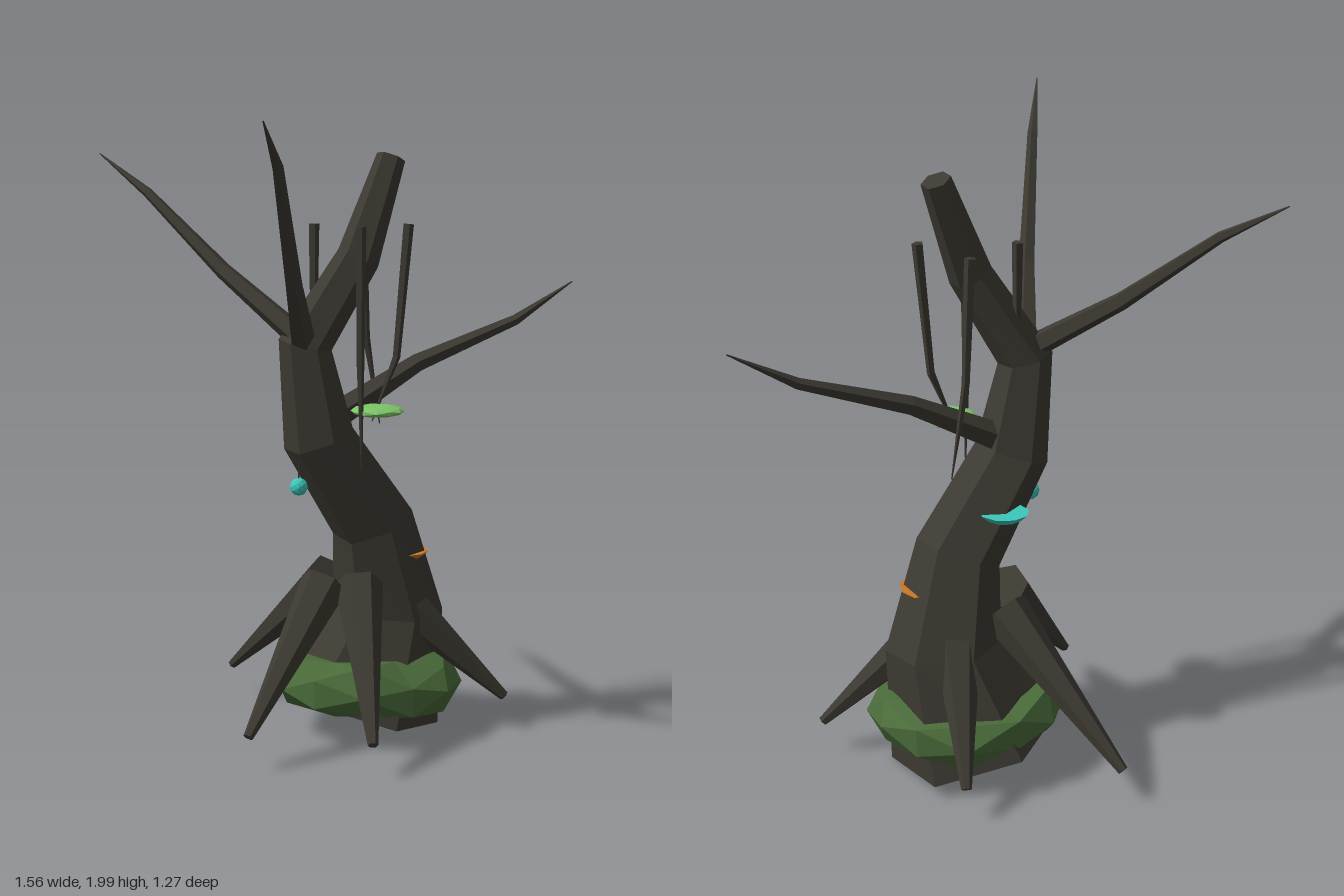
import * as THREE from 'three';

const mat = (name, color) => {
  const m = new THREE.MeshStandardMaterial({ color, flatShading: true });
  m.name = name;
  return m;
};

// Faceted limb: rings perpendicular to a path of [x, y, z, radius] stations
function limbGeometry(stations, sides) {
  const pts = stations.map(s => new THREE.Vector3(s[0], s[1], s[2]));
  const last = pts.length - 1;
  const whole = pts[last].clone().sub(pts[0]).normalize();
  const ref = Math.abs(whole.x) > 0.7 ? new THREE.Vector3(0, 1, 0) : new THREE.Vector3(1, 0, 0);
  const pos = [], idx = [];
  pts.forEach((p, i) => {
    const t = new THREE.Vector3();
    if (i > 0) t.add(p.clone().sub(pts[i - 1]).normalize());
    if (i < last) t.add(pts[i + 1].clone().sub(p).normalize());
    t.normalize();
    const u = ref.clone().addScaledVector(t, -ref.dot(t)).normalize();
    const v = t.clone().cross(u);
    for (let j = 0; j < sides; j++) {
      const a = (j / sides) * Math.PI * 2;
      const q = p.clone()
        .addScaledVector(u, Math.cos(a) * stations[i][3])
        .addScaledVector(v, Math.sin(a) * stations[i][3]);
      pos.push(q.x, q.y, q.z);
    }
  });
  for (let i = 0; i < last; i++) {
    for (let j = 0; j < sides; j++) {
      const k = (j + 1) % sides;
      const a = i * sides + j, b = i * sides + k;
      idx.push(a, b, a + sides, b, b + sides, a + sides);
    }
  }
  for (let j = 1; j < sides - 1; j++) {
    const e = last * sides;
    idx.push(0, j + 1, j, e, e + j, e + j + 1);
  }
  const indexed = new THREE.BufferGeometry();
  indexed.setAttribute('position', new THREE.Float32BufferAttribute(pos, 3));
  indexed.setIndex(idx);
  const g = indexed.toNonIndexed();
  g.computeVertexNormals();
  return g;
}

export function createModel() {
  const group = new THREE.Group();
  const bark = mat('bark', 0x3d3a32);
  const moss = mat('moss', 0x4a6b3a);
  const leaf = mat('lightGreen', 0x7cc568);
  const teal = mat('teal', 0x3cc8bc);
  const orange = mat('orange', 0xc87828);

  const add = (name, geometry, material, x = 0, y = 0, z = 0) => {
    const m = new THREE.Mesh(geometry, material);
    m.name = name;
    m.position.set(x, y, z);
    group.add(m);
    return m;
  };

  // Crooked trunk with a broken top
  add('trunk', limbGeometry([
    [0.08, 0.1, -0.25, 0.28],
    [0.18, 0.42, -0.255, 0.18],
    [0.13, 0.71, -0.19, 0.135],
    [-0.04, 1.0, -0.09, 0.115],
    [-0.08, 1.3, -0.07, 0.085],
    [0.085, 1.57, -0.09, 0.068],
    [0.185, 1.88, -0.17, 0.046],
  ], 6), bark);

  // Bare branches
  [
    [[-0.085, 1.32, -0.02, 0.04], [-0.1, 1.51, 0.19, 0.027], [-0.13, 1.87, 0.43, 0.017], [-0.155, 2.0, 0.635, 0.002]],
    [[-0.09, 1.32, -0.05, 0.04], [-0.35, 1.52, -0.21, 0.028], [-0.61, 1.76, -0.37, 0.017], [-0.78, 1.88, -0.485, 0.002]],
    [[0.02, 1.07, -0.13, 0.045], [0.27, 1.22, -0.25, 0.03], [0.59, 1.345, -0.385, 0.018], [0.78, 1.465, -0.465, 0.002]],
  ].forEach((s, i) => add('branch' + (i + 1), limbGeometry(s, 5), bark));

  // Splayed roots: start, then tip
  [
    [[-0.01, 0.52, -0.22], [-0.36, 0.125, -0.535]],
    [[-0.02, 0.53, -0.08], [-0.24, 0.125, 0.26]],
    [[0.09, 0.53, -0.08], [0.145, 0.125, 0.32]],
    [[0.19, 0.48, -0.18], [0.565, 0.125, -0.2]],
    [[0.14, 0.5, -0.31], [0.12, 0.125, -0.62]],
  ].forEach(([a, b], i) =>
    add('root' + (i + 1), limbGeometry([[...a, 0.078], [...b, 0.016]], 6), bark));

  // Hanging vines, tapering downwards
  [
    [[0.24, 1.675, -0.11], [0.205, 1.26, -0.09], [0.13, 1.06, -0.06]],
    [[0.095, 1.675, 0.025], [0.095, 1.25, 0.025], [0.1, 0.91, 0.022]],
    [[-0.055, 1.675, -0.11], [-0.055, 1.4, -0.1], [-0.05, 1.1, -0.09]],
    [[0.09, 1.675, -0.265], [0.105, 1.3, -0.29], [0.15, 1.01, -0.32]],
  ].forEach((p, i) => add('vine' + (i + 1),
    limbGeometry(p.map((q, k) => [...q, [0.018, 0.013, 0.002][k]]).reverse(), 5), bark));

  // Moss skirt: squashed faceted ball with levelled top and bottom
  const skirt = new THREE.IcosahedronGeometry(1, 1);
  const sp = skirt.attributes.position;
  for (let i = 0; i < sp.count; i++) {
    const x = sp.getX(i), y = sp.getY(i), z = sp.getZ(i);
    sp.setXYZ(i, x * 0.315, THREE.MathUtils.clamp(y * 0.15, -0.1, 0.08) + 0.025 * Math.sin(5 * x + 3 * z), z * 0.315);
  }
  skirt.computeVertexNormals();
  add('mossSkirt', skirt, moss, 0.11, 0.195, -0.215);

  // Leaf pad hung among the vines
  const pad = new THREE.IcosahedronGeometry(0.085, 1);
  pad.scale(1, 0.22, 1);
  add('leafPad', pad, leaf, 0.148, 1.097, -0.04);

  // Hanging bead on a thread
  add('bead', new THREE.IcosahedronGeometry(0.029, 1), teal, -0.1, 0.85, -0.05);
  add('beadThread', new THREE.CylinderGeometry(0.003, 0.003, 0.15, 4), bark, -0.1, 0.94, -0.05);

  // Shelf fungi set into the trunk
  const shelf = new THREE.CylinderGeometry(1, 0.7, 1, 9);
  add('tealFungus', shelf, teal, -0.01, 0.85, -0.235).scale.set(0.078, 0.022, 0.068);
  add('orangeFungus', shelf, orange, 0.245, 0.6, -0.22).scale.set(0.068, 0.02, 0.088);

  return group;
}
